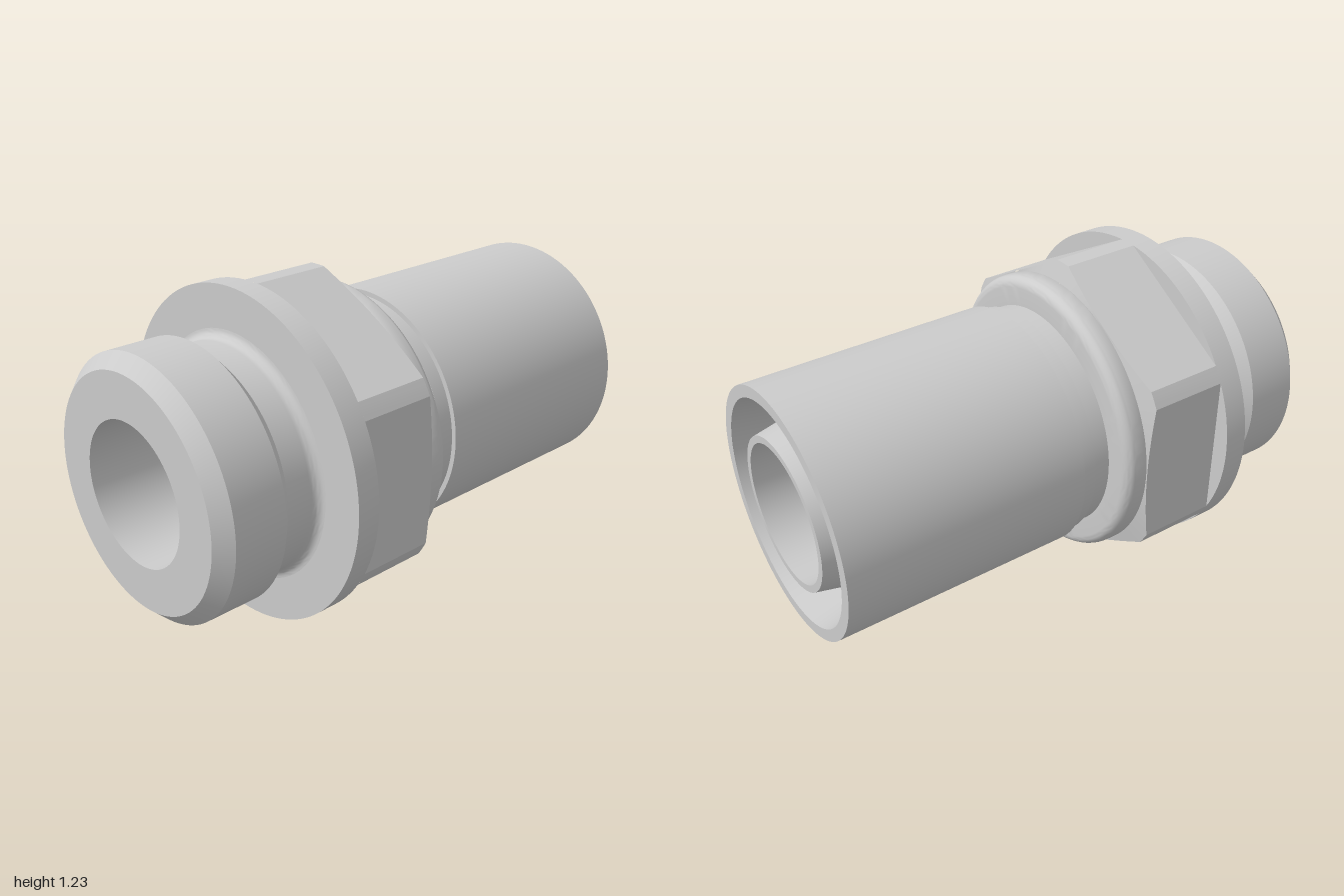
import * as THREE from 'three';
import { toCreasedNormals } from 'three/addons/utils/BufferGeometryUtils.js';

const material = new THREE.MeshStandardMaterial({ color: 0xcccccc });
const FLANGE_R = 0.617, FLAT_R = 0.55, BORE_R = 0.26;
const HEX_START = -0.475, HEX_END = -0.155;

// Turned part about the x axis; profile is [x, radius], outside runs towards +x
function turned(name, profile) {
  const points = profile.map(([x, r]) => new THREE.Vector2(r, x));
  const geometry = new THREE.LatheGeometry(points, 120).rotateZ(-Math.PI / 2);
  const mesh = new THREE.Mesh(toCreasedNormals(geometry, 0.4), material);
  mesh.name = name;
  return mesh;
}

// Profile points of a circular fillet
function arc(x, r, radius, from, to, steps = 8) {
  return Array.from({ length: steps + 1 }, (_, i) => {
    const a = THREE.MathUtils.degToRad(from + (to - from) * i / steps);
    return [x + radius * Math.cos(a), r + radius * Math.sin(a)];
  });
}

// Hexagon with corners clipped by the flange circle and a conical end chamfer
function hexGeometry() {
  const half = Math.acos(FLAT_R / FLANGE_R);
  const sections = [];
  for (let side = 0; side < 6; side++) {
    const mid = side * Math.PI / 3;
    for (let i = 0; i <= 16; i++) {
      const d = -half + 2 * half * i / 16;
      sections.push([mid + d, FLAT_R / Math.cos(d)]);
    }
    const gap = Math.PI / 3 - 2 * half;
    for (let i = 1; i < 3; i++) sections.push([mid + half + gap * i / 3, FLANGE_R]);
  }
  const positions = [], index = [];
  for (const [a, r] of sections) {
    const ring = [[HEX_START, r], [HEX_END - (r - FLAT_R) * 0.3, r], [HEX_END, FLAT_R - 0.005]];
    for (const [x, rad] of ring) positions.push(x, rad * Math.sin(a), rad * Math.cos(a));
  }
  const n = sections.length;
  for (let i = 0; i < n; i++) {
    for (let k = 0; k < 2; k++) {
      const a = i * 3 + k, b = ((i + 1) % n) * 3 + k;
      index.push(a, a + 1, b, b, a + 1, b + 1);
    }
  }
  const geometry = new THREE.BufferGeometry();
  geometry.setAttribute('position', new THREE.Float32BufferAttribute(positions, 3));
  geometry.setIndex(index);
  // Wind every face outwards from the axis
  const p = geometry.attributes.position, v = [0, 1, 2].map(() => new THREE.Vector3());
  for (let i = 0; i < index.length; i += 3) {
    v.forEach((c, k) => c.fromBufferAttribute(p, index[i + k]));
    const normal = v[1].clone().sub(v[0]).cross(v[2].clone().sub(v[0]));
    if (normal.y * v[0].y + normal.z * v[0].z < 0) {
      [index[i + 1], index[i + 2]] = [index[i + 2], index[i + 1]];
    }
  }
  geometry.setIndex(index);
  return toCreasedNormals(geometry, 0.2);
}

export function createModel() {
  const group = new THREE.Group();
  group.name = 'pipeFitting';

  // Chamfered spigot with a neck running into the flange
  group.add(turned('spigot', [
    [-1, BORE_R], [-1, 0.425], [-0.947, 0.477], [-0.745, 0.477], [-0.695, 0.425],
    ...arc(-0.6, 0.46, 0.035, -90, 0),
  ]));
  group.add(turned('flange', [
    [-0.565, 0.46], [-0.565, FLANGE_R], [HEX_START, FLANGE_R], [HEX_START, FLAT_R - 0.01],
  ]));

  const hex = new THREE.Mesh(hexGeometry(), material);
  hex.name = 'hexagon';
  group.add(hex);

  // Rounded collar beside the hexagon
  group.add(turned('collar', [
    [HEX_END, 0.545], [-0.15, 0.547], ...arc(-0.11, 0.507, 0.04, 90, 0), [-0.07, 0.437],
  ]));

  // Stepped outer sleeve
  group.add(turned('sleeve', [
    [-0.07, 0.437], [0, 0.437], [0, 0.45], [0.06, 0.45], [0.06, 0.468], [1, 0.468], [1, 0.422],
  ]));

  // Tapered ring groove in the open end, then the inner tube's lip
  group.add(turned('endGroove', [
    [1, 0.422], [0.79, 0.377], [0.79, 0.33], [1, 0.287], [1, BORE_R],
  ]));
  group.add(turned('bore', [[1, BORE_R], [-1, BORE_R]]));

  group.position.y = FLANGE_R;
  const root = new THREE.Group();
  root.add(group);
  return root;
}
